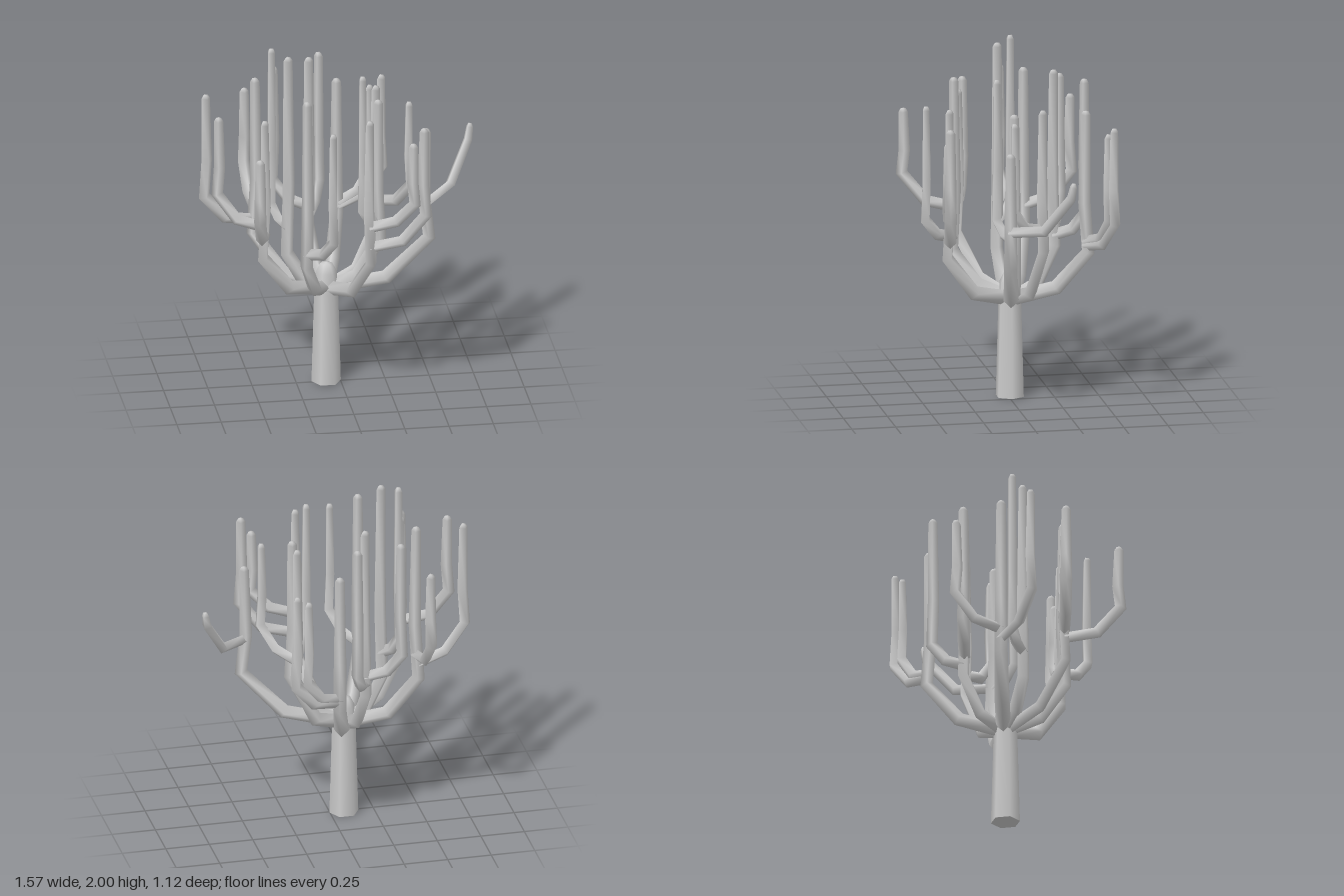
import * as THREE from 'three';

const material = new THREE.MeshStandardMaterial({ color: 0xcccccc });
const HUB = [-0.08, -0.02];

// Tapered limb lying in a vertical plane: rings of `sides` points joined by quads, closed by a blunt point.
function limb(name, nodes, radii, sides = 4) {
  const pts = nodes.map(p => new THREE.Vector3(...p));
  const n = pts.length;
  const flat = pts[2].clone().sub(pts[0]).setY(0).normalize();
  const side = new THREE.Vector3(flat.z, 0, -flat.x);
  const pos = [], idx = [];
  const ring = (c, t, r) => {
    const up = new THREE.Vector3().crossVectors(t, side).normalize();
    for (let j = 0; j < sides; j++) {
      const a = j / sides * Math.PI * 2;
      const p = c.clone().addScaledVector(side, r * Math.cos(a)).addScaledVector(up, r * Math.sin(a));
      pos.push(p.x, p.y, p.z);
    }
  };
  const dir = i => pts[i + 1].clone().sub(pts[i]).normalize();
  for (let i = 0; i < n; i++) {
    const t = i === 0 ? dir(0) : i === n - 1 ? dir(n - 2) : dir(i - 1).add(dir(i)).normalize();
    const c = pts[i].clone();
    if (i === n - 1) c.addScaledVector(t, -0.02);
    ring(c, t, radii[i]);
    if (i === n - 1) ring(pts[i], t, radii[i] * 0.55);
  }
  const apex = pos.length / 3;
  pos.push(...pts[n - 1].toArray(), ...pts[0].toArray());
  for (let j = 0; j < sides; j++) {
    const k = (j + 1) % sides;
    for (let i = 0; i < n; i++) {
      const a = i * sides + j, b = i * sides + k;
      idx.push(a, b, a + sides, b, b + sides, a + sides);
    }
    idx.push(n * sides + j, n * sides + k, apex, k, j, apex + 1);
  }
  const g = new THREE.BufferGeometry();
  g.setAttribute('position', new THREE.Float32BufferAttribute(pos, 3));
  g.setIndex(idx);
  g.computeVertexNormals();
  const mesh = new THREE.Mesh(g, material);
  mesh.name = name;
  return mesh;
}

// Limb that leaves sideways, bends upward, then rises as a post
function arm(name, [x0, z0], y0, [x1, z1], yMid, yBend, top, radii) {
  const at = (f, y) => [x0 + (x1 - x0) * f, y, z0 + (z1 - z0) * f];
  const yPost = yBend + (top - yBend) * 0.35;
  return limb(name, [at(0, y0), at(0.6, yMid), at(1.03, yBend), at(0.98, yPost), at(1, top)], radii);
}

// Main branches: post position, top, bend height, and twigs as [x, z, start y, top, rise to bend]
const BRANCHES = [
  { at: [-0.46, 0.21], top: 1.68, bend: 0.86, twigs: [[-0.71, 0.14, 1.04, 1.69, 0.19], [-0.53, 0.51, 1.0, 1.57, 0.2]] },
  { at: [-0.46, -0.16], top: 1.79, bend: 0.86, twigs: [[-0.75, -0.08, 0.94, 1.74, 0.19], [-0.48, -0.43, 1.0, 1.62, 0.18]] },
  { at: [-0.14, -0.27], top: 1.85, bend: 0.84, twigs: [[-0.33, -0.34, 0.95, 1.78, 0.15], [-0.06, -0.43, 0.9, 1.81, 0.14]] },
  { at: [0.04, -0.42], top: 1.65, bend: 0.84, twigs: [[0.24, -0.51, 0.9, 1.56, 0.17], [0.31, -0.53, 0.88, 1.61, 0.18]] },
  { at: [0.22, -0.14], top: 1.71, bend: 0.9, twigs: [[0.38, 0.05, 1.02, 1.68, 0.16]] },
  { at: [0.47, 0.09], top: 1.53, bend: 0.88, twigs: [] },
  { at: [0.11, 0.37], top: 1.71, bend: 0.86, twigs: [[0.35, 0.42, 1.07, 1.58, 0.15], [0.41, 0.42, 0.95, 1.67, 0.2]] },
  { at: [-0.23, 0.28], top: 1.81, bend: 0.82, twigs: [[-0.11, 0.46, 0.89, 1.68, 0.14]] },
  { at: [-0.30, 0.02], top: 1.98, bend: 0.8, twigs: [[-0.38, -0.07, 0.95, 2.0, 0.12]] },
  { at: [0.21, 0.02], top: 1.69, bend: 0.86, twigs: [[0.11, 0.10, 0.95, 1.87, 0.12]] },
];

export function createModel() {
  const model = new THREE.Group();
  model.name = 'branchingCactus';

  // Trunk with a pointed crown
  const profile = [[0, 0], [0.083, 0], [0.083, 0.001], [0.068, 0.54], [0.06, 0.66], [0.035, 0.71], [0, 0.72]];
  const trunk = new THREE.Mesh(
    new THREE.LatheGeometry(profile.map(p => new THREE.Vector2(...p)), 6, Math.PI / 6 * 3), material);
  trunk.name = 'trunk';
  trunk.position.set(HUB[0], 0, -0.01);
  model.add(trunk);

  // Main branches with their twigs
  for (const { at, top, bend, twigs } of BRANCHES) {
    const group = new THREE.Group();
    group.name = 'branch';
    group.add(arm('mainBranch', HUB, 0.56, at, 0.63, bend, top, [0.042, 0.042, 0.037, 0.035, 0.027]));
    for (const [x, z, y, tip, rise] of twigs) {
      group.add(arm('twig', at, y, [x, z], y + 0.04, y + rise, tip, [0.032, 0.034, 0.034, 0.032, 0.026]));
    }
    model.add(group);
  }

  // Long outlying twig reaching sideways
  model.add(limb('outerTwig',
    [[0.47, 1.08, 0.09], [0.63, 1.12, -0.07], [0.75, 1.33, -0.2], [0.765, 1.42, -0.215]],
    [0.03, 0.032, 0.029, 0.023]));

  return model;
}
